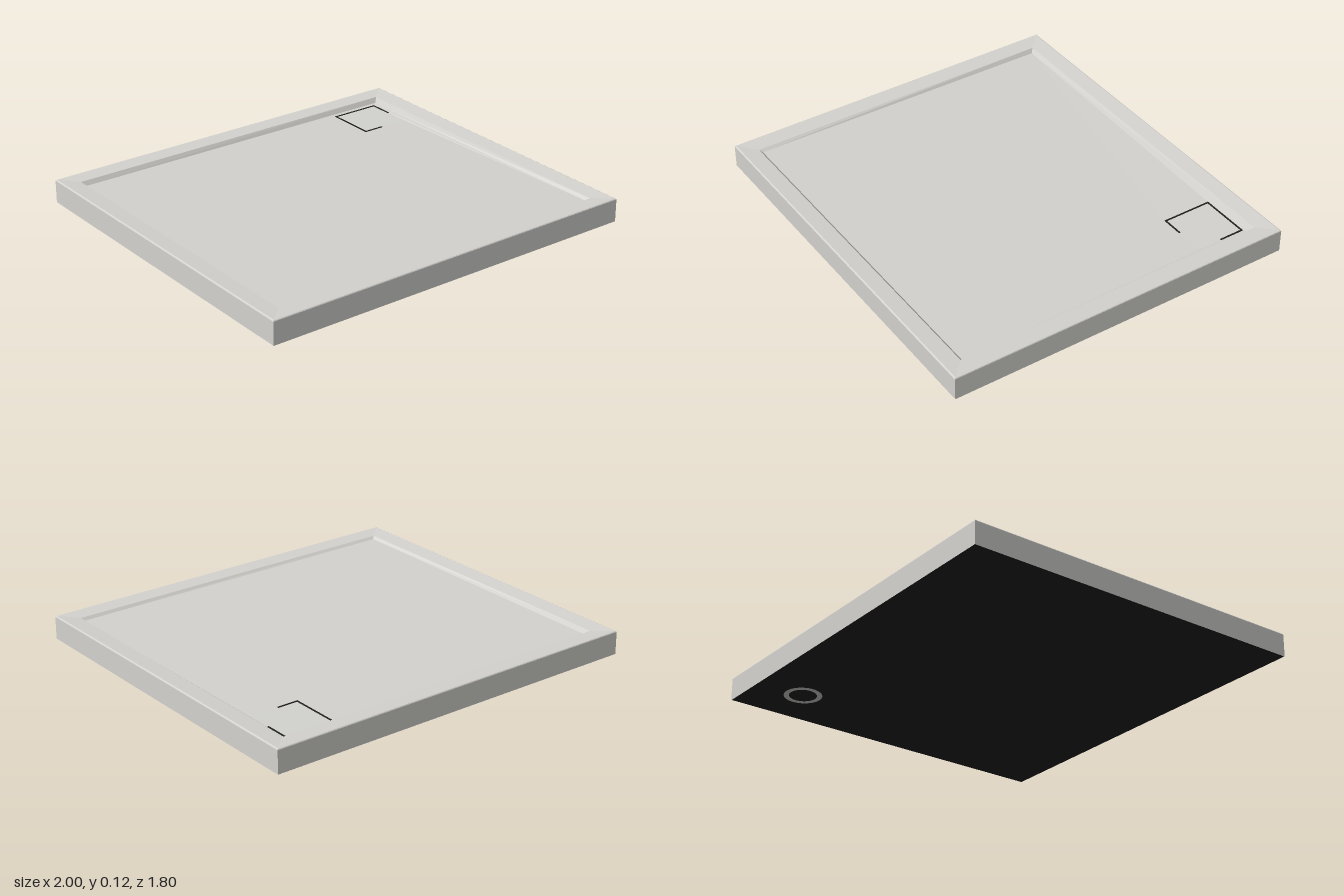
import * as THREE from 'three';

// Rectangle as four corners, counter-clockwise seen from above; y may differ per corner
function loop(hx, hz, y, cx = 0, cz = 0) {
  const ys = Array.isArray(y) ? y : [y, y, y, y];
  return [[-hx, -hz], [-hx, hz], [hx, hz], [hx, -hz]].map(([x, z], i) =>
    new THREE.Vector3(cx + x, ys[i], cz + z));
}

// Flat-faced skin through successive loops, optionally closed by the last one
function skin(loops, cap = false) {
  const pos = [];
  const quad = (a, b, c, d) => [a, b, c, a, c, d].forEach((p) => pos.push(p.x, p.y, p.z));
  for (let k = 0; k < loops.length - 1; k++) {
    for (let i = 0; i < 4; i++) {
      const j = (i + 1) % 4;
      quad(loops[k][i], loops[k][j], loops[k + 1][j], loops[k + 1][i]);
    }
  }
  if (cap) quad(...loops[loops.length - 1]);
  const geo = new THREE.BufferGeometry();
  geo.setAttribute('position', new THREE.Float32BufferAttribute(pos, 3));
  geo.computeVertexNormals();
  return geo;
}

export function createModel() {
  const group = new THREE.Group();
  const trayGrey = new THREE.MeshStandardMaterial({ name: 'trayGrey', color: 0xd4d3cf });
  const black = new THREE.MeshStandardMaterial({ name: 'black', color: 0x222222 });
  const add = (name, geo, mat, x = 0, y = 0, z = 0) => {
    const mesh = new THREE.Mesh(geo, mat);
    mesh.name = name;
    mesh.position.set(x, y, z);
    group.add(mesh);
    return mesh;
  };

  const drain = { x: 0.74, z: -0.65, half: 0.13, y: 0.085 };
  // Floor heights: back left, front left, front right, back right
  const floorEdge = loop(0.897, 0.8, [0.092, 0.102, 0.1, 0.088]);

  // Outer walls, softened top edge, gently sloping rim and inner step
  add('rim', skin([
    loop(1, 0.9, 0),
    loop(1, 0.9, 0.114),
    loop(0.998, 0.898, 0.118),
    loop(0.994, 0.894, 0.12),
    loop(0.91, 0.813, 0.114),
    floorEdge,
  ]), trayGrey);

  // Floor falling towards the drain cover
  add('floor', skin([floorEdge, loop(drain.half, drain.half, drain.y, drain.x, drain.z)]), trayGrey);
  add('drainCover', skin([loop(drain.half, drain.half, drain.y, drain.x, drain.z)], true), trayGrey);

  // Narrow slots around the cover: two full sides, two half sides
  const w = 0.008, h = drain.half;
  const slot = (name, sx, sz, x, z) =>
    add(name, new THREE.BoxGeometry(sx, 0.003, sz), black, drain.x + x, drain.y + 0.001, drain.z + z);
  slot('drainSlotBack', 2 * h, w, 0, -h + w / 2);
  slot('drainSlotLeft', w, 2 * h, -h + w / 2, 0);
  slot('drainSlotRight', w, h, h - w / 2, -h / 2);
  slot('drainSlotFront', 0.11, w, -h + 0.055, h - w / 2);

  // Underside with the outlet ring
  const base = new THREE.PlaneGeometry(2, 1.8).rotateX(Math.PI / 2);
  add('underside', base, black, 0, 0.002, 0);
  const ring = new THREE.RingGeometry(0.068, 0.094, 48).rotateX(Math.PI / 2);
  add('outletRing', ring, trayGrey, drain.x, 0, drain.z);

  return group;
}
